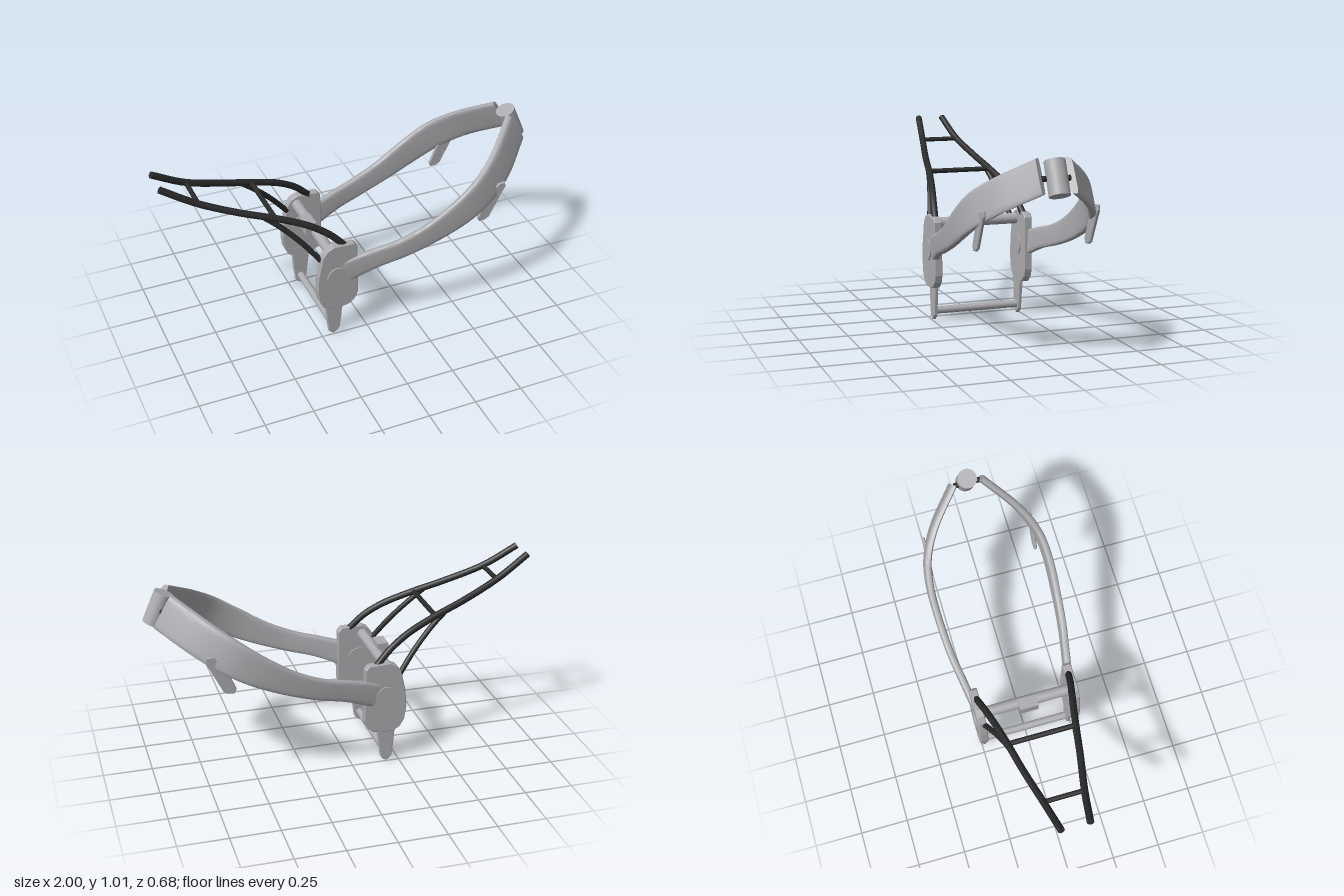
import * as THREE from 'three';
import { toCreasedNormals } from 'three/addons/utils/BufferGeometryUtils.js';

const V = (x, y, z) => new THREE.Vector3(x, y, z);

// Mirror a geometry to the other side (z -> -z), keeping faces outward
function mirrored(geo) {
  const g = geo.index ? geo.toNonIndexed() : geo.clone();
  g.scale(1, 1, -1);
  for (const attr of Object.values(g.attributes)) {
    const n = attr.itemSize;
    for (let i = 0; i < attr.count; i += 3) {
      for (let k = 0; k < n; k++) {
        const a = (i + 1) * n + k, b = (i + 2) * n + k;
        [attr.array[a], attr.array[b]] = [attr.array[b], attr.array[a]];
      }
    }
  }
  return g;
}

// Flat plate cut from a side outline, from depth z0 to z1
function plate(points, z0, z1, bevel = 0.004) {
  const shape = new THREE.Shape(points.map(p => new THREE.Vector2(...p)));
  const g = new THREE.ExtrudeGeometry(shape, {
    depth: z1 - z0 - 2 * bevel, bevelEnabled: true, bevelSize: bevel,
    bevelThickness: bevel, bevelOffset: -bevel, bevelSegments: 1,
  });
  return g.translate(0, 0, z0 + bevel);
}

// Straight capped rod between two points
function rod(a, b, r, sides = 24) {
  const d = b.clone().sub(a);
  const g = new THREE.CylinderGeometry(r, r, d.length(), sides);
  g.applyQuaternion(new THREE.Quaternion().setFromUnitVectors(V(0, 1, 0), d.normalize()));
  const m = a.clone().add(b).multiplyScalar(0.5);
  return g.translate(m.x, m.y, m.z);
}

// Curved spar lofted from rounded-rectangle sections: top x,y, bottom x,y, z
function sparGeometry() {
  const stations = [
    [-0.15, 0.455, -0.10, 0.33, 0.252], [0.02, 0.503, 0.05, 0.393, 0.28],
    [0.15, 0.537, 0.20, 0.435, 0.302], [0.30, 0.602, 0.38, 0.497, 0.315],
    [0.46, 0.705, 0.54, 0.568, 0.317], [0.58, 0.79, 0.66, 0.635, 0.295],
    [0.70, 0.87, 0.79, 0.715, 0.225], [0.86, 0.975, 0.95, 0.82, 0.075],
  ];
  const top = new THREE.CatmullRomCurve3(stations.map(s => V(s[0], s[1], s[4])));
  const bottom = new THREE.CatmullRomCurve3(stations.map(s => V(s[2], s[3], s[4])));
  const N = 40, M = 24, half = 0.019, pos = [], idx = [];
  const mid = t => top.getPoint(t).add(bottom.getPoint(t)).multiplyScalar(0.5);
  const soft = v => Math.sign(v) * Math.pow(Math.abs(v), 0.4);
  for (let i = 0; i <= N; i++) {
    const t = i / N, c = mid(t);
    const up = top.getPoint(t).sub(c);
    const dir = mid(Math.min(1, t + 0.01)).sub(mid(Math.max(0, t - 0.01)));
    const out = V(-dir.z, 0, dir.x).normalize().multiplyScalar(half);
    for (let j = 0; j < M; j++) {
      const a = (j / M) * Math.PI * 2;
      const p = c.clone().addScaledVector(up, soft(Math.cos(a))).addScaledVector(out, soft(Math.sin(a)));
      pos.push(p.x, p.y, p.z);
      if (i < N) {
        const k = i * M + j, n = i * M + (j + 1) % M;
        idx.push(k, n, k + M, n, n + M, k + M);
      }
    }
  }
  // End caps
  const c0 = mid(0), c1 = mid(1), base = (N + 1) * M;
  pos.push(c0.x, c0.y, c0.z, c1.x, c1.y, c1.z);
  for (let j = 0; j < M; j++) {
    const n = (j + 1) % M;
    idx.push(base, n, j, base + 1, N * M + j, N * M + n);
  }
  const g = new THREE.BufferGeometry();
  g.setAttribute('position', new THREE.Float32BufferAttribute(pos, 3));
  g.setIndex(idx);
  return toCreasedNormals(g, 0.8);
}

export function createModel() {
  const model = new THREE.Group();
  const metal = new THREE.MeshStandardMaterial({ color: 0xacacb0 });
  metal.name = 'brushed grey';
  const dark = new THREE.MeshStandardMaterial({ color: 0x2a2a2a });
  dark.name = 'dark tube';

  const add = (name, geo, mat) => {
    const m = new THREE.Mesh(geo, mat);
    m.name = name;
    model.add(m);
    return m;
  };
  const pair = (name, geo, mat) => {
    add(name + 'Front', geo, mat);
    add(name + 'Back', mirrored(geo), mat);
  };
  const bentTube = (name, pts, r) => {
    const curve = new THREE.CatmullRomCurve3(pts.map(p => V(...p)));
    pair(name, new THREE.TubeGeometry(curve, 40, r, 14), dark);
    // Closed tube ends
    [0, 1].forEach(t => {
      const tan = curve.getTangent(t).multiplyScalar(t ? 1 : -1);
      const cap = new THREE.CircleGeometry(r, 14);
      cap.applyQuaternion(new THREE.Quaternion().setFromUnitVectors(V(0, 0, 1), tan));
      const p = curve.getPoint(t);
      pair(name + 'Cap', cap.translate(p.x, p.y, p.z), dark);
    });
  };

  // Main spars and steering head
  pair('spar', sparGeometry(), metal);
  add('headTube', rod(V(0.952, 0.811, 0), V(0.885, 0.964, 0), 0.05, 36), metal);
  add('headPin', rod(V(0.905, 0.885, -0.07), V(0.905, 0.885, 0.07), 0.014), dark);

  // Engine mounting tabs under the spars
  pair('mountTab', plate([[0.71, 0.725], [0.745, 0.727], [0.75, 0.70], [0.725, 0.655],
    [0.665, 0.535], [0.645, 0.523], [0.61, 0.52], [0.60, 0.545], [0.638, 0.635], [0.655, 0.68]],
    0.277, 0.293), metal);

  // Pivot plates with round bosses
  pair('pivotPlate', plate([[-0.25, 0.515], [-0.225, 0.55], [-0.19, 0.567], [-0.08, 0.562],
    [-0.062, 0.54], [-0.058, 0.26], [-0.07, 0.22], [-0.105, 0.188], [-0.15, 0.18],
    [-0.215, 0.182], [-0.25, 0.205], [-0.272, 0.25], [-0.28, 0.31], [-0.275, 0.40],
    [-0.262, 0.46]], 0.228, 0.27), metal);
  pair('pivotBoss', rod(V(-0.172, 0.382, 0.222), V(-0.172, 0.382, 0.277), 0.055, 32), metal);

  // Lower legs
  pair('lowerLeg', plate([[-0.225, 0.24], [-0.135, 0.24], [-0.134, 0.175], [-0.152, 0.03],
    [-0.165, 0.012], [-0.185, 0], [-0.212, 0.022], [-0.222, 0.10], [-0.228, 0.18]],
    0.227, 0.247), metal);

  // Cross members
  add('upperCrossTube', rod(V(-0.195, 0.517, -0.235), V(-0.195, 0.517, 0.235), 0.028), metal);
  add('lowerCrossTube', rod(V(-0.183, 0.05, -0.235), V(-0.183, 0.05, 0.235), 0.02), metal);
  const bracket = new THREE.BoxGeometry(0.058, 0.062, 0.094);
  add('shockBracket', bracket.translate(-0.223, 0.544, 0), metal);

  // Rear subframe
  bentTube('seatRail', [[-0.99, 0.995, 0.07], [-0.82, 0.892, 0.10], [-0.62, 0.81, 0.143],
    [-0.45, 0.752, 0.175], [-0.30, 0.69, 0.207], [-0.20, 0.625, 0.23], [-0.125, 0.55, 0.245]], 0.0175);
  bentTube('seatStrut', [[-0.52, 0.775, 0.162], [-0.44, 0.705, 0.178], [-0.34, 0.60, 0.207],
    [-0.25, 0.485, 0.238]], 0.014);
  add('rearBrace', rod(V(-0.815, 0.888, -0.1), V(-0.815, 0.888, 0.1), 0.012, 14), dark);
  add('middleBrace', rod(V(-0.458, 0.755, -0.172), V(-0.458, 0.755, 0.172), 0.013, 14), dark);

  return model;
}
